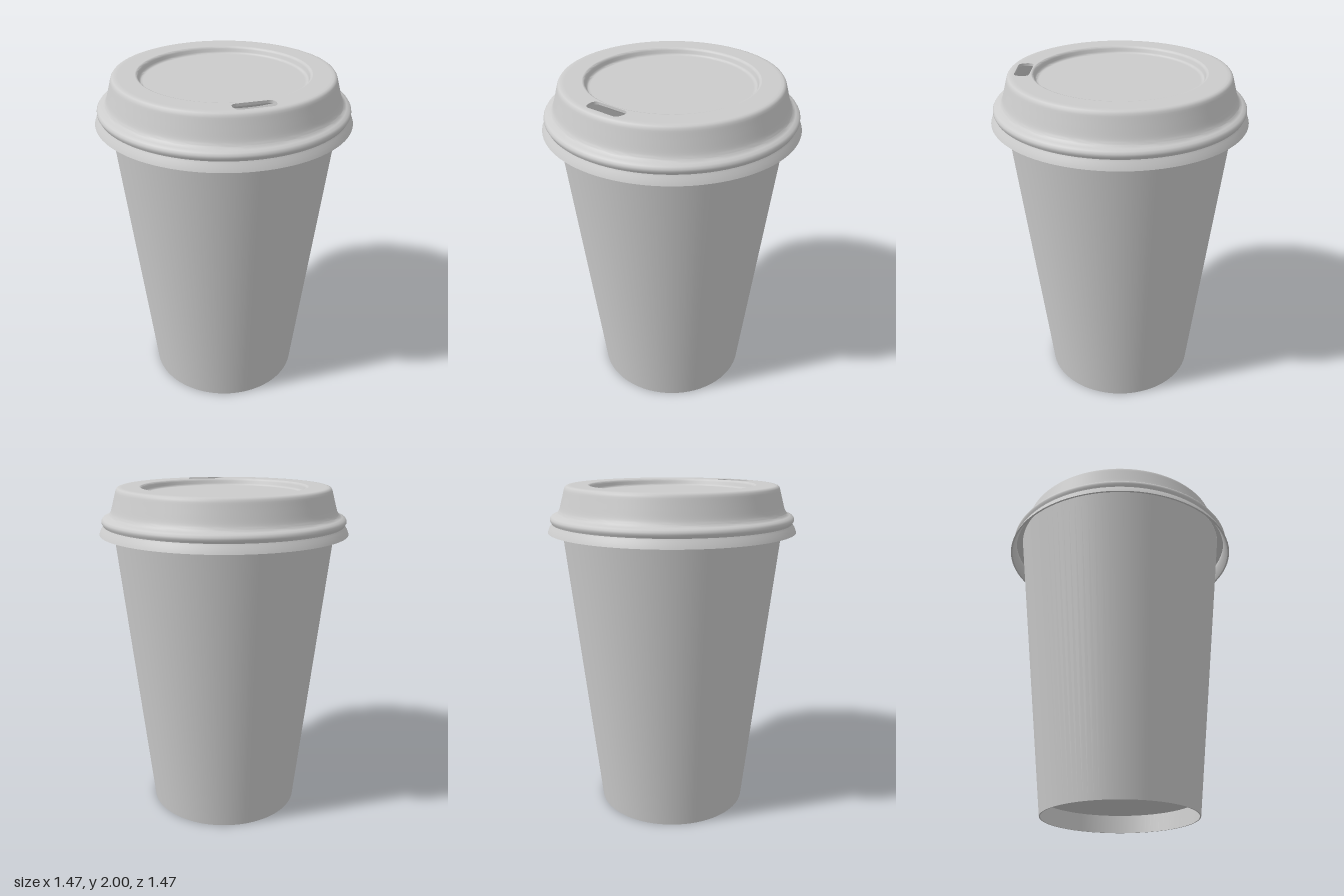
import * as THREE from 'three';
import { toCreasedNormals } from 'three/addons/utils/BufferGeometryUtils.js';

const SEGMENTS = 96;
const material = new THREE.MeshStandardMaterial({ color: 0xcccccc, side: THREE.DoubleSide });

// Turned part from [radius, height] pairs, smooth except at sharp corners
function turned(name, pairs) {
  const points = pairs.map(([r, y]) => new THREE.Vector2(r, y));
  const geometry = toCreasedNormals(new THREE.LatheGeometry(points, SEGMENTS), 0.75);
  const mesh = new THREE.Mesh(geometry, material);
  mesh.name = name;
  return mesh;
}

// Flat ring of the lid, pierced by the rounded drinking slot
function lidTop(inner, outer, height) {
  const ring = new THREE.Shape().absarc(0, 0, outer, 0, Math.PI * 2, false);
  ring.holes.push(new THREE.Path().absarc(0, 0, inner, 0, Math.PI * 2, true));

  const w = 0.115, near = 0.58, far = 0.495, r = 0.035;
  const slot = new THREE.Path();
  slot.moveTo(-w + r, far);
  slot.lineTo(w - r, far);
  slot.quadraticCurveTo(w, far, w, far + r);
  slot.quadraticCurveTo(w - 0.003, near, w - r, near);
  slot.lineTo(-w + r, near);
  slot.quadraticCurveTo(-w + 0.003, near, -w, far + r);
  slot.quadraticCurveTo(-w, far, -w + r, far);
  ring.holes.push(slot);

  const geometry = new THREE.ExtrudeGeometry(ring, {
    depth: 0.015, bevelEnabled: false, curveSegments: SEGMENTS / 2,
  });
  geometry.rotateX(Math.PI / 2);
  geometry.translate(0, height, 0);
  const mesh = new THREE.Mesh(geometry, material);
  mesh.name = 'lidTop';
  return mesh;
}

export function createModel() {
  const model = new THREE.Group();
  model.name = 'lidded cup';

  // Tapered paper wall, open below the raised base
  const wall = turned('cupWall', [
    [0.65, 1.83], [0.453, 0], [0.46, 0], [0.659, 1.83], [0.65, 1.83],
  ]);

  // Raised base disc
  const base = turned('cupBase', [
    [0, 0.11], [0.466, 0.11], [0.467, 0.125], [0, 0.125],
  ]);

  const lid = new THREE.Group();
  lid.name = 'lid';

  // Skirt: down the inside, then up over the flared lip, bead and sloping side
  const slope = new THREE.SplineCurve([
    [0.674, 1.842], [0.661, 1.865], [0.645, 1.92], [0.63, 1.975],
  ].map(([r, y]) => new THREE.Vector2(r, y))).getPoints(12).map((p) => [p.x, p.y]);
  const skirt = turned('lidSkirt', [
    [0.59, 1.985], [0.615, 1.975], [0.632, 1.91], [0.66, 1.83], [0.7, 1.815],
    [0.697, 1.78], [0.722, 1.735],
    [0.733, 1.735], [0.724, 1.758], [0.713, 1.775], [0.708, 1.785],
    [0.711, 1.793], [0.717, 1.803], [0.716, 1.815], [0.708, 1.827], [0.69, 1.834],
    ...slope,
    [0.626, 1.987], [0.619, 1.996], [0.608, 2], [0.59, 2],
  ]);

  // Sunken centre panel
  const panel = turned('lidPanel', [
    [0.492, 2], [0.486, 1.999], [0.48, 1.994], [0.476, 1.986], [0.472, 1.972],
    [0.468, 1.964], [0.461, 1.96], [0.45, 1.96], [0, 1.96],
  ]);

  lid.add(skirt, lidTop(0.492, 0.59, 2), panel);
  model.add(wall, base, lid);
  return model;
}
